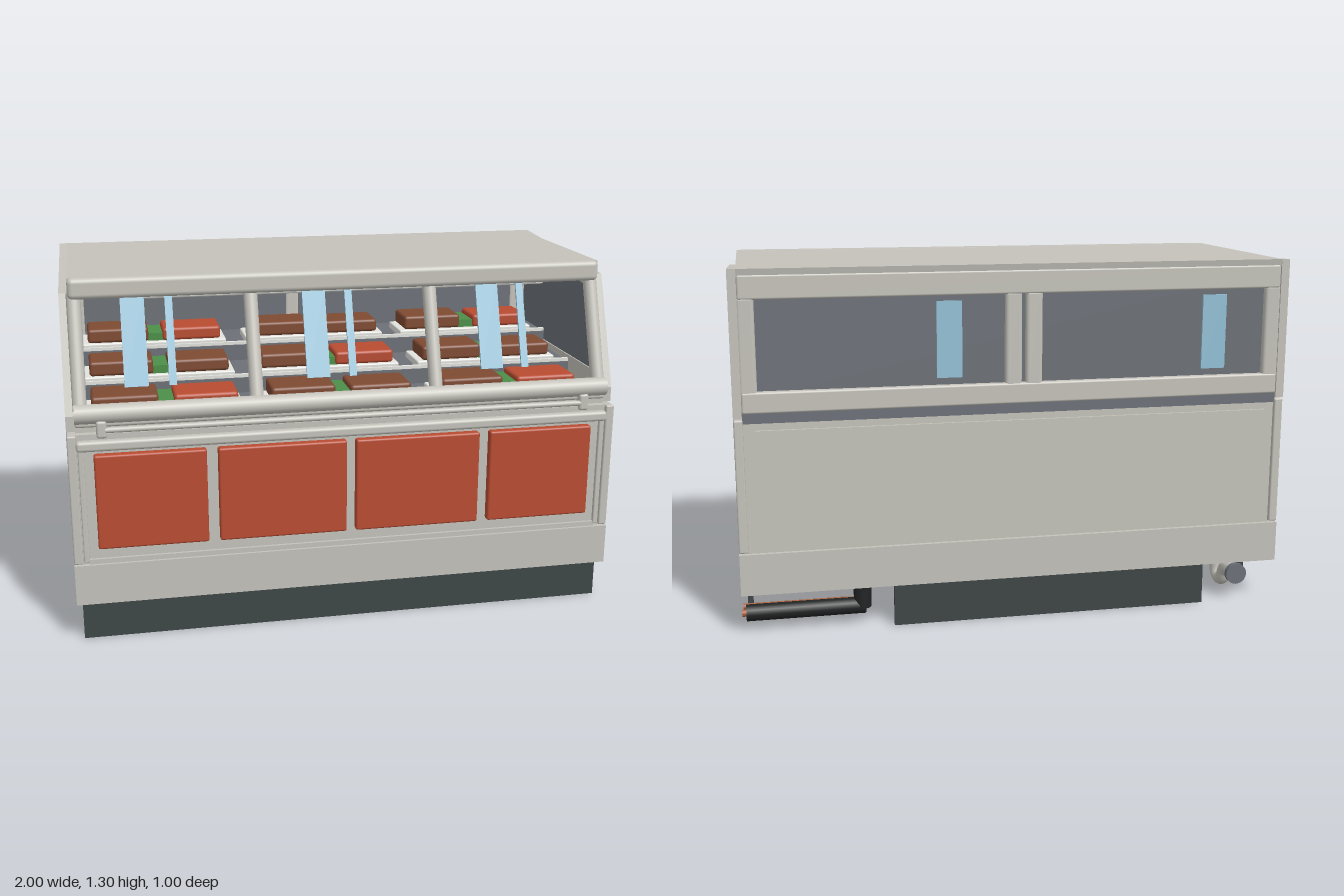
import * as THREE from 'three';
import { RoundedBoxGeometry } from 'three/addons/geometries/RoundedBoxGeometry.js';

const mat = (name, color) => Object.assign(new THREE.MeshStandardMaterial({ color }), { name });

export function createModel() {
  const root = new THREE.Group();
  root.name = 'displayCounter';
  const shell = mat('warm grey shell', 0xc4c2ba);
  const red = mat('red', 0xb84c32);
  const brown = mat('brown', 0x7f4a32);
  const blue = mat('pale blue glass', 0x92c0d6);
  const dark = mat('dark plinth', 0x3e4646);
  const grey = mat('smoked grey', 0x6c7077);
  const black = mat('black insulation', 0x222324);
  const copper = mat('copper', 0xa8623c);
  const green = mat('green garnish', 0x4b8f48);
  const white = mat('white tray', 0xe2e2de);

  const add = (name, geo, material) => {
    const m = new THREE.Mesh(geo, material);
    m.name = name;
    root.add(m);
    return m;
  };
  // box from its limits, with optional rounded edges
  const box = (name, material, x0, x1, y0, y1, z0, z1, r = 0) => {
    const s = [x1 - x0, y1 - y0, z1 - z0];
    const geo = r ? new RoundedBoxGeometry(...s, 3, r) : new THREE.BoxGeometry(...s);
    const m = add(name, geo, material);
    m.position.set((x0 + x1) / 2, (y0 + y1) / 2, (z0 + z1) / 2);
    return m;
  };
  // profile of [z, y] points swept from x0 to x1
  const sweep = (name, material, x0, x1, pts, hole) => {
    const shape = new THREE.Shape(pts.map(p => new THREE.Vector2(...p)));
    if (hole) shape.holes.push(new THREE.Path(hole.map(p => new THREE.Vector2(...p))));
    const geo = new THREE.ExtrudeGeometry(shape, { depth: x1 - x0, bevelEnabled: false });
    geo.rotateY(-Math.PI / 2).translate(x1, 0, 0);
    return add(name, geo, material);
  };
  // round bar along x
  const bar = (name, material, x0, x1, y, z, r) => {
    const geo = new THREE.CylinderGeometry(r, r, x1 - x0, 20).rotateZ(Math.PI / 2);
    const m = add(name, geo, material);
    m.position.set((x0 + x1) / 2, y, z);
    return m;
  };
  const tube = (name, material, pts, r) => add(name, new THREE.TubeGeometry(
    new THREE.CatmullRomCurve3(pts.map(p => new THREE.Vector3(...p))), 40, r, 16), material);

  // plinth, open towards the rear corners
  box('plinthFront', dark, -0.98, 0.98, 0, 0.15, 0.425, 0.45);
  for (const s of [-1, 1]) {
    const x = s * 0.97;
    box('plinthSide', dark, x - 0.01, x + 0.01, 0, 0.15, -0.255, 0.44);
  }
  box('plinthBack', dark, -0.71, 0.46, 0, 0.15, -0.5, -0.48);

  // cabinet body
  box('skirt', shell, -1, 1, 0.15, 0.3, -0.5, 0.49);
  box('cabinet', shell, -0.97, 0.97, 0.3, 0.78, -0.485, 0.475);
  box('backPanel', shell, -0.93, 0.93, 0.33, 0.74, -0.495, -0.48);
  box('backGrooveRail', grey, -0.97, 0.97, 0.765, 0.8, -0.49, -0.44);

  // side walls with windows
  const frame = [[0.45, 0.785], [0.45, 0.84], [0.295, 1.24], [-0.5, 1.295], [-0.5, 0.785]];
  const pane = [[0.39, 0.88], [0.295, 1.18], [-0.445, 1.24], [-0.445, 0.88]];
  for (const s of [-1, 1]) {
    const at = (a, b) => (s > 0 ? [a, b] : [-b, -a]);
    box('lowerSide', shell, ...at(0.968, 1), 0.305, 0.78, -0.5, 0.49, 0.006);
    sweep('sideFrame', shell, ...at(0.97, 1), frame, pane);
    sweep('sideWindow', blue, ...at(0.988, 0.997), pane);
    sweep('sideWindowLining', grey, ...at(0.975, 0.983), pane);
    box('frontTrim', shell, ...at(0.945, 0.965), 0.31, 0.75, 0.47, 0.488, 0.005);
  }

  // roof with a deep rounded front edge
  sweep('roof', shell, -0.97, 0.97,
    [[0.32, 1.295], [0.32, 1.24], [-0.495, 1.27], [-0.5, 1.295]]);
  box('roofLip', shell, -0.97, 0.97, 1.222, 1.296, 0.26, 0.34, 0.018);
  box('lamp', white, -0.79, 0.79, 1.2, 1.225, 0.2, 0.25, 0.008);

  // front sill, bumper and handle rail
  box('sill', shell, -0.97, 0.97, 0.775, 0.835, 0.385, 0.45);
  bar('bumper', shell, -0.97, 0.97, 0.847, 0.455, 0.034);
  box('bumperApron', shell, -0.97, 0.97, 0.8, 0.83, 0.44, 0.465, 0.01);
  bar('handleRail', shell, -0.89, 0.89, 0.793, 0.478, 0.01);
  for (const x of [-0.88, 0.88]) box('handleBracket', shell, x - 0.018, x + 0.018, 0.765, 0.828, 0.45, 0.488, 0.01);
  box('frontRail', shell, -0.97, 0.97, 0.722, 0.76, 0.465, 0.5, 0.012);
  box('frontLowerTrim', shell, -0.95, 0.95, 0.302, 0.32, 0.47, 0.485);

  // red front panels
  for (const [a, b] of [[-0.912, -0.522], [-0.482, -0.02], [0.014, 0.476], [0.515, 0.907]])
    box('frontPanel', red, a, b, 0.363, 0.71, 0.47, 0.505, 0.008);

  // leaning front posts and glass reflections
  const lean = Math.atan2(-0.13, 0.36);
  for (const x of [-0.95, -0.333, 0.325, 0.95]) {
    const post = add('frontPost', new THREE.CylinderGeometry(0.025, 0.025, 0.41, 20), shell);
    post.position.set(x, 1.045, 0.366);
    post.rotation.x = lean;
  }
  for (const x of [-0.75, -0.103, 0.548])
    for (const [dx, w] of [[0, 0.084], [0.127, 0.027]]) {
      const strip = add('frontReflection', new THREE.BoxGeometry(w, 0.32, 0.008), blue);
      strip.position.set(x + dx, 1.07, 0.342);
      strip.rotation.x = lean;
    }

  // rear sliding doors
  box('rearGlass', grey, -0.97, 0.97, 0.84, 1.26, -0.475, -0.465);
  box('rearTopRail', shell, -0.97, 0.97, 1.19, 1.275, -0.498, -0.45, 0.008);
  box('rearBottomRail', shell, -0.97, 0.97, 0.8, 0.875, -0.498, -0.45, 0.008);
  for (const x of [-0.945, -0.052, 0.022, 0.945])
    box('rearPost', shell, x - 0.03, x + 0.03, 0.86, 1.2, -0.496, -0.462, 0.012);
  for (const x of [-0.725, 0.25])
    box('rearReflection', blue, x - 0.045, x + 0.045, 0.9, 1.17, -0.483, -0.475);

  // stepped deck with trays of goods
  const rows = [[0.305, 0.83], [0.03, 0.888], [-0.245, 0.95]];
  rows.forEach(([z, y], r) => {
    box('deckStep', grey, -0.965, 0.965, 0.77, y - 0.03, z - 0.2, z + 0.085);
    box('stepLip', white, -0.96, 0.96, y - 0.026, y - 0.014, z + 0.08, z + 0.095);
    [-0.65, -0.012, 0.623].forEach((x, g) => {
      box('tray', white, x - 0.28, x + 0.28, y - 0.03, y - 0.001, z - 0.1, z + 0.085, 0.006);
      box('garnish', green, x - 0.03, x + 0.04, y, y + 0.03, z - 0.08, z + 0.07);
      const redRight = r === 1 ? g === 1 : g !== 1;
      box('goodsLeft', brown, x - 0.26, x - 0.025, y, y + 0.055, z - 0.08, z + 0.08, 0.012);
      box('goodsRight', redRight ? red : brown, x + 0.03, x + 0.258, y, y + 0.05, z - 0.08, z + 0.08, 0.012);
    });
  });

  // drain trap
  const dx = -0.85;
  tube('drainTrap', shell, [[dx, 0.15, -0.29], [dx, 0.08, -0.29], [dx, 0.044, -0.302], [dx, 0.031, -0.33],
    [dx, 0.044, -0.358], [dx, 0.075, -0.372], [dx, 0.097, -0.395], [dx, 0.1, -0.43], [dx, 0.1, -0.485]], 0.027);
  const collar = add('drainCollar', new THREE.CylinderGeometry(0.035, 0.035, 0.025, 20), grey);
  collar.position.set(dx, 0.12, -0.29);
  const flange = add('drainFlange', new THREE.CylinderGeometry(0.04, 0.04, 0.02, 20).rotateX(Math.PI / 2), grey);
  flange.position.set(dx, 0.1, -0.482);

  // refrigerant lines
  bar('insulatedPipe', black, 0.56, 0.985, 0.065, -0.44, 0.03);
  const riser = add('insulatedRiser', new THREE.CylinderGeometry(0.032, 0.032, 0.09, 20), black);
  riser.position.set(0.57, 0.106, -0.44);
  bar('insulatedPipeCore', copper, 0.97, 1, 0.065, -0.44, 0.013);
  tube('copperPipe', copper, [[0.56, 0.15, -0.37], [0.56, 0.09, -0.37], [0.58, 0.065, -0.37], [0.64, 0.063, -0.37], [0.995, 0.063, -0.37]], 0.011);
  return root;
}
